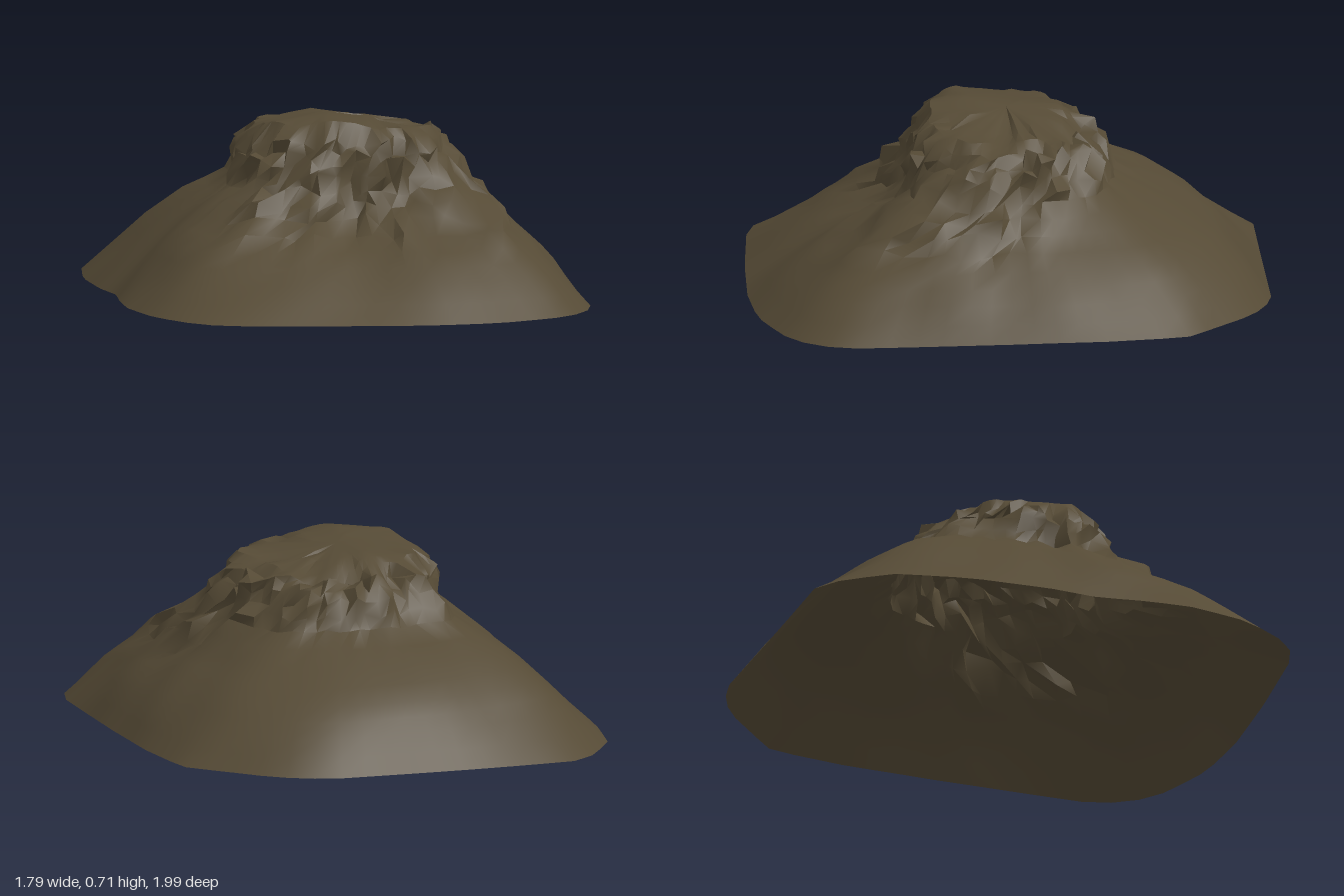
import * as THREE from 'three';
import { toCreasedNormals } from 'three/addons/utils/BufferGeometryUtils.js';

const { lerp, smoothstep } = THREE.MathUtils;
const COLUMNS = 64;
const STEPS = 2;

// foot of the hill as x, z corners
const FOOT = [
  [0.89, 0], [0.885, 0.6], [0.84, 0.76], [0.7, 0.87], [0.47, 0.96], [0.2, 0.99], [-0.15, 0.99],
  [-0.57, 0.97], [-0.68, 0.92], [-0.82, 0.72], [-0.88, 0.48], [-0.88, 0.3], [-0.86, 0.1],
  [-0.89, -0.1], [-0.9, -0.42], [-0.86, -0.7], [-0.75, -0.88], [-0.65, -0.96], [0.32, -1],
  [0.45, -0.97], [0.56, -0.91], [0.82, -0.68], [0.84, -0.62], [0.88, -0.35],
];

// contour lines: height, then radius every 22.5 degrees from +x towards +z
const CONTOURS = [
  [0.15, [0.79, 0.85, 0.99, 0.9, 0.79, 0.87, 0.95, 0.82, 0.75, 0.82, 0.98, 0.9, 0.88, 0.95, 0.94, 0.84]],
  [0.25, [0.69, 0.76, 0.86, 0.75, 0.62, 0.71, 0.82, 0.73, 0.65, 0.71, 0.86, 0.8, 0.79, 0.83, 0.82, 0.72]],
  [0.35, [0.57, 0.65, 0.7, 0.52, 0.41, 0.52, 0.66, 0.6, 0.54, 0.58, 0.71, 0.65, 0.62, 0.64, 0.64, 0.57]],
  [0.45, [0.47, 0.55, 0.52, 0.41, 0.37, 0.42, 0.48, 0.43, 0.39, 0.42, 0.49, 0.43, 0.41, 0.43, 0.47, 0.48]],
  [0.55, [0.42, 0.48, 0.45, 0.38, 0.35, 0.37, 0.41, 0.4, 0.37, 0.38, 0.38, 0.36, 0.39, 0.39, 0.41, 0.44]],
  [0.62, [0.38, 0.42, 0.39, 0.35, 0.33, 0.33, 0.37, 0.36, 0.34, 0.34, 0.32, 0.28, 0.31, 0.31, 0.34, 0.4]],
];

// repeatable noise in -1..1
function noise(i, j) {
  const s = Math.sin(i * 127.1 + j * 311.7) * 43758.5453;
  return (s - Math.floor(s)) * 2 - 1;
}

// where a ray from the centre meets the foot outline
function footRadius(a) {
  const dx = Math.cos(a), dz = Math.sin(a);
  let best = 0;
  FOOT.forEach(([x, z], i) => {
    const [x2, z2] = FOOT[(i + 1) % FOOT.length];
    const ex = x2 - x, ez = z2 - z;
    const den = dx * ez - dz * ex;
    const r = (x * ez - z * ex) / den;
    const t = (x * dz - z * dx) / den;
    if (r > 0 && t >= -1e-6 && t <= 1 + 1e-6) best = Math.max(best, r);
  });
  return best;
}

function contourRadius(level, a) {
  if (level === 0) return footRadius(a);
  const radii = CONTOURS[level - 1][1];
  const f = (a / (Math.PI * 2)) * 16, i = Math.floor(f);
  const t = (1 - Math.cos((f - i) * Math.PI)) / 2;
  return lerp(radii[i % 16], radii[(i + 1) % 16], (t + f - i) / 2);
}

function contourHeight(level, a) {
  return level === 0 ? 0.022 + 0.01 * Math.sin(a * 2 + 2.6) : CONTOURS[level - 1][0];
}

// smooth tilted plateau on the right, lower broken ground beside and behind it
function summitHeight(x, z) {
  const plateau = 0.705 + 0.1 * z - 0.15 * Math.abs(x + 0.06);
  const side = smoothstep(x, 0.06, 0.14) * 0.012;
  const behind = smoothstep(-z, 0.2, 0.27) * 0.05;
  const brow = smoothstep(z, 0.18, 0.3) * 0.035;
  return plateau - side - behind - brow;
}

function hillGeometry() {
  const positions = [], index = [];
  const rings = CONTOURS.length * STEPS + 1;

  // slopes and cliffs, broken into crags towards the top and the front
  for (let j = 0; j < rings; j++) {
    const level = Math.min(Math.floor(j / STEPS), CONTOURS.length - 1);
    const t = j / STEPS - level;
    for (let i = 0; i < COLUMNS; i++) {
      const a = (i / COLUMNS) * Math.PI * 2;
      let r = lerp(contourRadius(level, a), contourRadius(level + 1, a), t);
      let y = lerp(contourHeight(level, a), contourHeight(level + 1, a), t);
      const front = smoothstep(Math.sin(a) + 0.3 * Math.cos(a), -0.4, 0.5);
      const start = 0.38 - 0.2 * front;
      const rough = smoothstep(y, start, start + 0.2);
      const buttress = noise(Math.floor(i / 3), Math.floor(j / 7)) * 0.022;
      r += rough * (buttress + noise(i, j) * 0.027);
      y += rough * noise(i + 91, j) * 0.025;
      const b = a + rough * noise(i, j + 57) * 0.05;
      positions.push(Math.cos(b) * r, y, Math.sin(b) * r);
    }
  }

  // summit, smooth on the plateau and rough around it
  const inner = [0.88, 0.72, 0.5, 0.25];
  inner.forEach((s, k) => {
    for (let i = 0; i < COLUMNS; i++) {
      const a = (i / COLUMNS) * Math.PI * 2;
      let r = s * contourRadius(CONTOURS.length, a);
      const broken = Math.max(
        smoothstep(Math.cos(a) * r, 0.05, 0.14),
        smoothstep(-Math.sin(a) * r, 0.18, 0.26),
        k === 0 ? 0.5 : 0,
      );
      r += broken * noise(Math.floor(i / 2), k + 31) * 0.02;
      const x = Math.cos(a) * r, z = Math.sin(a) * r;
      const chip = noise(Math.floor(i / 3), k + 8) * 0.022;
      positions.push(x, summitHeight(x, z) + broken * chip, z);
    }
  });
  positions.push(0, summitHeight(0, 0), 0);

  const total = rings + inner.length;
  for (let j = 0; j < total; j++) {
    for (let i = 0; i < COLUMNS; i++) {
      const a = j * COLUMNS + i, b = j * COLUMNS + ((i + 1) % COLUMNS);
      if (j === total - 1) index.push(a, total * COLUMNS, b);
      else index.push(a, a + COLUMNS, b, b, a + COLUMNS, b + COLUMNS);
    }
  }
  const g = new THREE.BufferGeometry();
  g.setAttribute('position', new THREE.Float32BufferAttribute(positions, 3));
  g.setIndex(index);
  return toCreasedNormals(g, 0.7);
}

export function createModel() {
  const model = new THREE.Group();
  model.name = 'rockyHill';
  const rock = new THREE.MeshStandardMaterial({ color: 0x554a35, side: THREE.DoubleSide });
  rock.name = 'brownRock';

  const hill = new THREE.Mesh(hillGeometry(), rock);
  hill.name = 'hillside';
  model.add(hill);
  return model;
}
